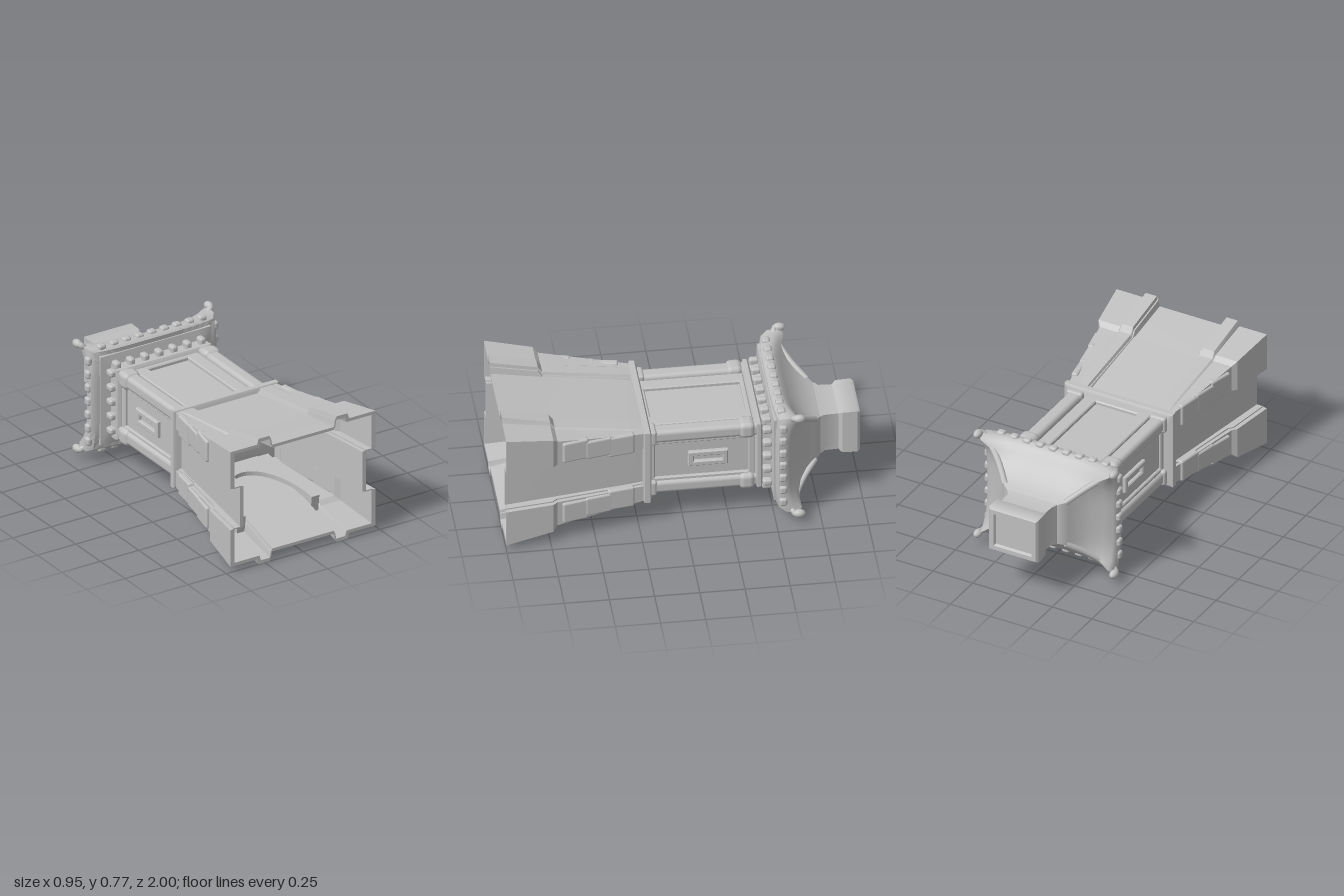
import * as THREE from 'three';
import { toCreasedNormals } from 'three/addons/utils/BufferGeometryUtils.js';
import { RoundedBoxGeometry } from 'three/addons/geometries/RoundedBoxGeometry.js';

const CY = 0.39; // height of the tower's long axis, which runs along z
const stone = new THREE.MeshStandardMaterial({ color: 0xc0c0c0, side: THREE.DoubleSide });
stone.name = 'stone';

// Skin over closed rings listed from +z to -z, with optional end caps
function loft(rings, capStart, capEnd, crease = 0.6) {
  const n = rings[0].length, pos = rings.flat(2), idx = [];
  for (let i = 0; i < rings.length - 1; i++) {
    for (let j = 0; j < n; j++) {
      const k = (j + 1) % n, a = i * n + j, b = i * n + k, c = a + n, d = b + n;
      idx.push(a, b, c, b, d, c);
    }
  }
  const cap = (row, flip) => {
    const c = pos.length / 3, z = rings[row].reduce((s, p) => s + p[2], 0) / n;
    pos.push(0, CY, z);
    for (let j = 0; j < n; j++) {
      const a = row * n + j, b = row * n + (j + 1) % n;
      flip ? idx.push(c, b, a) : idx.push(c, a, b);
    }
  };
  if (capStart) cap(0, true);
  if (capEnd) cap(rings.length - 1, false);
  const g = new THREE.BufferGeometry();
  g.setAttribute('position', new THREE.Float32BufferAttribute(pos, 3));
  g.setIndex(idx);
  return toCreasedNormals(g, crease);
}

// Rectangular ring; lift bends its corners towards -z
function rectRing([a, b, z, lift = 0], n = 10) {
  const ring = [];
  const corners = [[-1, 1], [1, 1], [1, -1], [-1, -1]];
  corners.forEach(([u0, v0], s) => {
    const [u1, v1] = corners[(s + 1) % 4];
    for (let i = 0; i < n; i++) {
      const u = u0 + (u1 - u0) * i / n, v = v0 + (v1 - v0) * i / n;
      const w = Math.pow(Math.abs(u * v), 4);
      const grow = 1 + 0.25 * lift * w;
      ring.push([a * u * grow, CY + b * v * grow, z - lift * w]);
    }
  });
  return ring;
}

// Plus-shaped ring of the base: recessed panels, ribs and corner piers
function baseRing(s, inset) {
  const { z, top, bottom, rib, px, py, side } = s, k = inset ? 0.945 : 1;
  const quarter = panel => [[0.21, panel], [0.22, rib], [0.29, rib], [0.3, py], [px, py], [px, 0.128], [side, 0.128]];
  const up = quarter(top), down = quarter(bottom).reverse();
  const loop = [
    ...up, ...down.map(([x, y]) => [x, -y]),
    ...quarter(bottom).map(([x, y]) => [-x, -y]), ...quarter(top).reverse().map(([x, y]) => [-x, y]),
  ];
  return loop.map(([x, y]) => [x * k, CY + y * k, z]);
}

// Rectangular frame lying in the xy plane, extruded along z
function frameGeometry(w, h, iw, ih, depth) {
  const rect = (S, a, b) => new S([[-a, -b], [a, -b], [a, b], [-a, b]].map(p => new THREE.Vector2(...p)));
  const shape = rect(THREE.Shape, w, h);
  shape.holes.push(rect(THREE.Path, iw, ih));
  return new THREE.ExtrudeGeometry(shape, { depth, bevelEnabled: true, bevelSize: 0.006, bevelThickness: 0.006, bevelSegments: 1 });
}

export function createModel() {
  const model = new THREE.Group();
  const add = (name, geo, x = 0, y = 0, z = 0) => {
    const m = new THREE.Mesh(geo, stone);
    m.name = name;
    m.position.set(x, y, z);
    model.add(m);
    return m;
  };
  const block = (name, w, h, d, x, y, z, r = 0.012) =>
    add(name, new RoundedBoxGeometry(w, h, d, 2, Math.min(r, w / 2.1, h / 2.1, d / 2.1)), x, y, z);
  const signs = [[1, 1], [1, -1], [-1, 1], [-1, -1]];

  // Hollow flared base, open at its foot
  const sections = [
    { z: 0.2, top: 0.2, bottom: 0.19, rib: 0.225, px: 0.325, py: 0.225, side: 0.29 },
    { z: 0.3, top: 0.218, bottom: 0.19, rib: 0.24, px: 0.345, py: 0.235, side: 0.308 },
    { z: 0.71, top: 0.275, bottom: 0.25, rib: 0.295, px: 0.415, py: 0.285, side: 0.368 },
    { z: 0.735, top: 0.28, bottom: 0.255, rib: 0.33, px: 0.437, py: 0.31, side: 0.372 },
    { z: 1, top: 0.325, bottom: 0.33, rib: 0.385, px: 0.473, py: 0.352, side: 0.41 },
  ];
  add('baseWalls', loft([
    ...sections.map(s => baseRing(s, true)),
    ...[...sections].reverse().map(s => baseRing(s, false)),
  ], false, false, 0.4));

  // Weathered slabs on the pier sides
  for (const [sx, sy] of signs) {
    for (let i = 0; i < 3; i++) {
      const z = 0.35 + i * 0.13;
      const slab = block('pierStone', 0.04, 0.13 - 0.012 * (i % 2), 0.15, sx * (0.343 + i * 0.024), CY + sy * (0.18 + i * 0.012), z);
      slab.rotation.y = sx * (0.19 + 0.03 * (i - 1));
    }
  }

  // Arched portal on the underside: spandrel wall and raised arch
  const archPoints = (w, foot, crown) => {
    const pts = [];
    for (let i = 0; i <= 20; i++) {
      const t = Math.PI * i / 20;
      pts.push(new THREE.Vector2(w * Math.cos(t), foot - (foot - crown) * Math.sin(t)));
    }
    return pts;
  };
  const portal = (name, outline, depth, low) => {
    const g = new THREE.ExtrudeGeometry(new THREE.Shape(outline), { depth, bevelEnabled: false });
    g.rotateX(Math.PI / 2);
    const m = add(name, toCreasedNormals(g, 0.6), 0, low + depth + 0.026, 0);
    m.rotation.x = 0.13;
  };
  const v = (x, y) => new THREE.Vector2(x, y);
  portal('portalWall', [v(-0.27, 0.74), v(-0.27, 0.22), v(0.27, 0.22), v(0.27, 0.74), ...archPoints(0.22, 0.74, 0.38)], 0.04, 0.17);
  portal('portalArch', [...archPoints(0.265, 0.76, 0.32), ...archPoints(0.215, 0.76, 0.38).reverse()], 0.1, 0.15);

  // Belt between base and shaft, closing the hollow
  add('belt', loft([[0.325, 0.22, 0.225], [0.342, 0.235, 0.217], [0.342, 0.235, 0.187], [0.32, 0.22, 0.178]]
    .map(r => rectRing(r)), true, true));

  // Shaft with corner columns, framed panels and small side windows
  block('shaftCore', 0.54, 0.35, 0.66, 0, CY, -0.13);
  for (const [sx, sy] of signs) {
    block('column', 0.085, 0.08, 0.64, sx * 0.26, CY + sy * 0.17, -0.12, 0.025);
    block('columnCapital', 0.105, 0.1, 0.09, sx * 0.262, CY + sy * 0.172, -0.355, 0.03);
    block('columnFoot', 0.1, 0.095, 0.04, sx * 0.262, CY + sy * 0.17, 0.165, 0.015);
  }
  for (const s of [1, -1]) {
    const face = add('panelFrame', frameGeometry(0.2, 0.285, 0.135, 0.27, 0.02), 0, CY + s * 0.17, -0.105);
    face.rotation.x = -s * Math.PI / 2;
    const sideFrame = add('sidePanelFrame', frameGeometry(0.29, 0.135, 0.265, 0.118, 0.012), s * 0.267, CY, -0.105);
    sideFrame.rotation.y = s * Math.PI / 2;
    const win = add('sideWindow', frameGeometry(0.105, 0.042, 0.085, 0.022, 0.018), s * 0.267, CY, -0.14);
    win.rotation.y = s * Math.PI / 2;
  }

  // Cornice with brackets under the eaves
  add('cornice', loft([
    [0.28, 0.19, -0.395], [0.305, 0.212, -0.41], [0.305, 0.212, -0.43], [0.29, 0.2, -0.44],
    [0.3, 0.21, -0.485], [0.36, 0.27, -0.495], [0.36, 0.27, -0.515],
  ].map(r => rectRing(r)), true, true));
  for (const s of [1, -1]) {
    for (let i = -3; i <= 3; i++) block('bracket', 0.04, 0.05, 0.055, i * 0.092, CY + s * 0.215, -0.466, 0.015);
    for (let i = -2; i <= 2; i++) block('bracket', 0.05, 0.04, 0.055, s * 0.305, CY + i * 0.088, -0.466, 0.015);
  }

  // Sweeping roof with raised corners
  add('roof', loft([
    [0.33, 0.24, -0.505], [0.39, 0.295, -0.5, 0.02], [0.41, 0.312, -0.515, 0.04], [0.413, 0.315, -0.55, 0.07],
    [0.395, 0.295, -0.575, 0.07], [0.35, 0.262, -0.602, 0.035], [0.29, 0.215, -0.64, 0.015], [0.235, 0.172, -0.69],
    [0.205, 0.145, -0.735], [0.19, 0.135, -0.757], [0.155, 0.125, -0.78],
  ].map(r => rectRing(r, 16)), true, true, 0.8));
  for (const [sx, sy] of signs) {
    const path = new THREE.CatmullRomCurve3([
      [0.19, 0.135, -0.745], [0.28, 0.21, -0.66], [0.37, 0.28, -0.605], [0.42, 0.318, -0.595], [0.43, 0.325, -0.635],
    ].map(([x, y, z]) => new THREE.Vector3(sx * x, CY + sy * y, z)));
    add('roofRidge', new THREE.TubeGeometry(path, 20, 0.018, 8));
    const tip = add('roofHorn', new THREE.SphereGeometry(0.024, 12, 8), sx * 0.428, CY + sy * 0.322, -0.625);
    tip.scale.z = 1.5;
  }
  // Scalloped eave tiles
  for (const s of [1, -1]) {
    for (let i = -4; i <= 4; i++) block('eaveTile', 0.05, 0.035, 0.045, i * 0.082, CY + s * 0.311, -0.54, 0.015);
    for (let i = -3; i <= 3; i++) block('eaveTile', 0.035, 0.05, 0.045, s * 0.411, CY + i * 0.082, -0.54, 0.015);
  }

  // Crowning block with a recessed end
  add('crown', loft([
    [0.158, 0.128, -0.75], [0.155, 0.126, -0.785], [0.14, 0.12, -0.805], [0.136, 0.12, -0.88], [0.153, 0.134, -0.9],
    [0.155, 0.136, -0.985], [0.145, 0.127, -1], [0.12, 0.102, -1], [0.112, 0.094, -0.985],
  ].map(r => rectRing(r)), true, true));

  return model;
}
